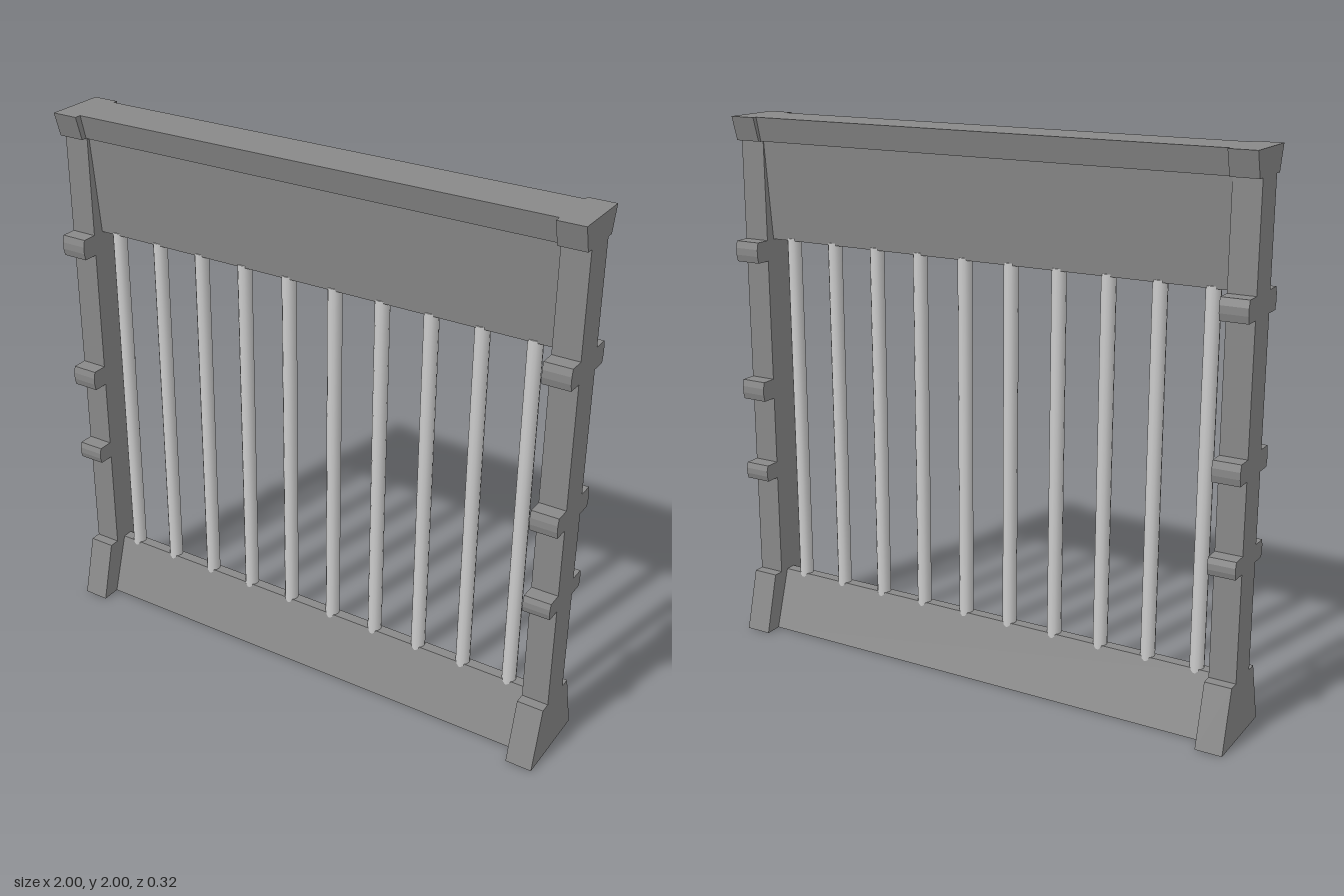
import * as THREE from 'three';

const frameMaterial = new THREE.MeshStandardMaterial({ color: 0x888888 });
const barMaterial = new THREE.MeshStandardMaterial({ color: 0xcccccc });

// Extrudes a symmetric side outline, given as [half depth, height] going up, between two x positions
function extrudeSide(name, half, x0, x1) {
  const points = [
    ...half.map(([z, y]) => new THREE.Vector2(z, y)),
    ...half.slice().reverse().map(([z, y]) => new THREE.Vector2(-z, y)),
  ];
  const geometry = new THREE.ExtrudeGeometry(new THREE.Shape(points), { depth: x1 - x0, bevelEnabled: false });
  geometry.rotateY(-Math.PI / 2).translate(x1, 0, 0);
  const mesh = new THREE.Mesh(geometry, frameMaterial);
  mesh.name = name;
  return mesh;
}

// Bracket that sticks out of a post on both sides, with a slightly crowned end
function bracket(y0, y1) {
  const third = (y1 - y0) / 3;
  return [[0.061, y0], [0.117, y0], [0.123, y0 + third], [0.123, y1 - third], [0.117, y1], [0.061, y1]];
}

export function createModel() {
  const group = new THREE.Group();
  group.name = 'barredGate';

  // End posts: flared foot, three brackets, flared cap
  const postOutline = [
    [0.16, 0], [0.1, 0.225], [0.061, 0.225],
    ...bracket(0.62, 0.683),
    ...bracket(0.94, 1.015),
    ...bracket(1.47, 1.547),
    [0.061, 1.912], [0.087, 1.912], [0.113, 2],
  ];
  group.add(extrudeSide('leftPost', postOutline, 0.902, 1));
  group.add(extrudeSide('rightPost', postOutline, -1, -0.902));

  // Bottom rail, wide at the ground and narrow at the top
  const bottomRail = extrudeSide('bottomRail', [[0.092, 0], [0.02, 0.225]], -0.902, 0.902);
  // Top board, narrowing downwards, with a flared cap
  const topBoard = extrudeSide('topBoard',
    [[0.02, 1.548], [0.055, 1.912], [0.07, 1.912], [0.092, 2]], -0.902, 0.902);
  bottomRail.position.z = topBoard.position.z = -0.004;
  group.add(bottomRail, topBoard);

  // Row of upright bars, their ends just sunk into the rails
  const bars = new THREE.Group();
  bars.name = 'bars';
  const barGeometry = new THREE.CylinderGeometry(0.026, 0.026, 1.346, 12);
  for (let i = 0; i < 10; i++) {
    const bar = new THREE.Mesh(barGeometry, barMaterial);
    bar.name = 'bar';
    bar.position.set(-0.836 + i * 0.184, 0.883, -0.004);
    bars.add(bar);
  }
  group.add(bars);

  return group;
}
